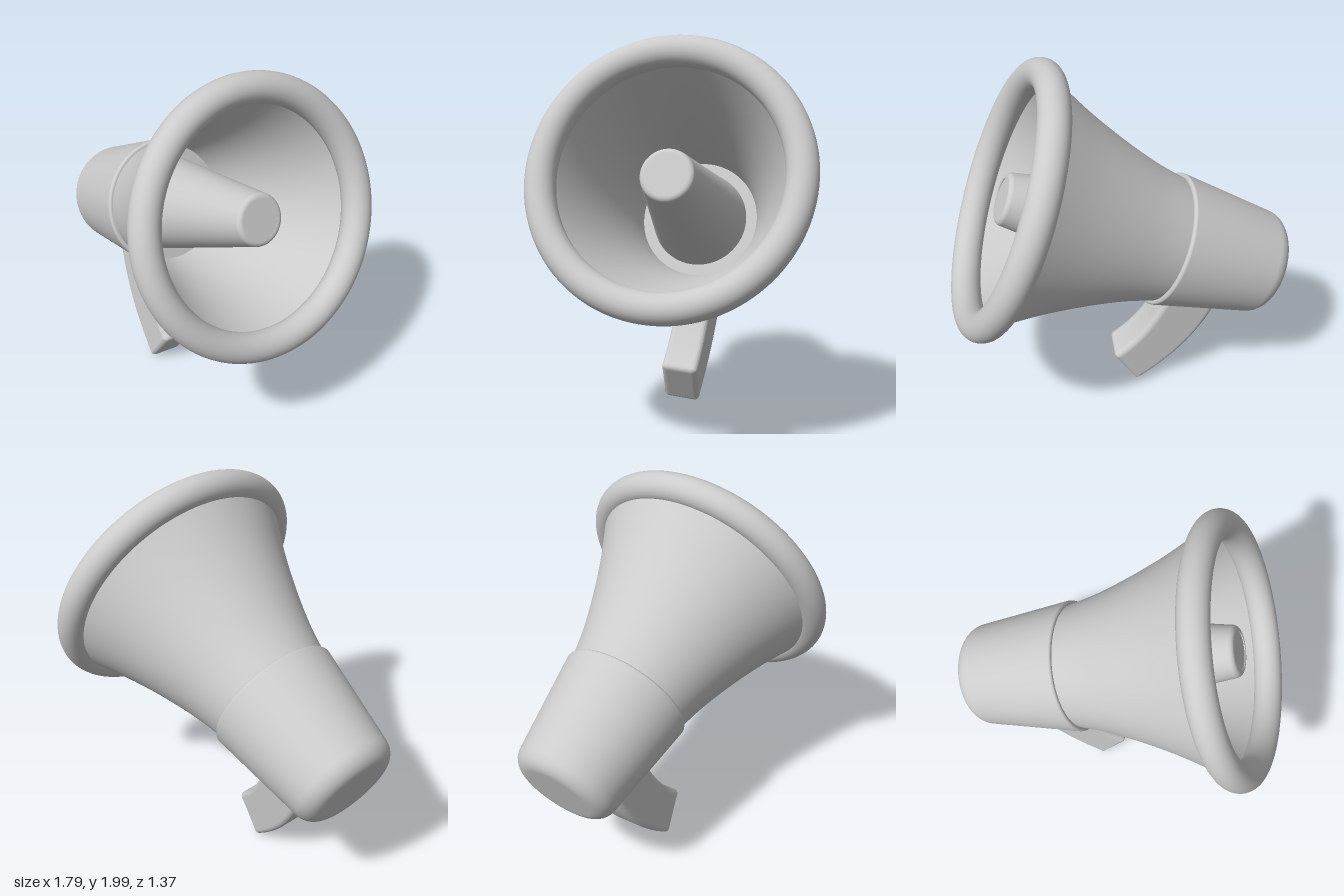
import * as THREE from 'three';

const material = new THREE.MeshStandardMaterial({ color: 0xcccccc });

function part(name, geometry) {
  const mesh = new THREE.Mesh(geometry, material);
  mesh.name = name;
  return mesh;
}

// Lathe around the local x axis; points are [position along axis, radius]
function turned(name, points, segments = 96) {
  const profile = points.map(([t, r]) => new THREE.Vector2(r, t));
  return part(name, new THREE.LatheGeometry(profile, segments).rotateZ(-Math.PI / 2));
}

// Smooth curve through a few points
function smooth(points, count = 24) {
  return new THREE.SplineCurve(points.map(p => new THREE.Vector2(...p)))
    .getPoints(count).map(p => [p.x, p.y]);
}

// Rounded corner points, angles in degrees (0 = forward, 90 = outward)
function fillet(t, r, radius, from, to, steps = 10) {
  return Array.from({ length: steps + 1 }, (_, i) => {
    const a = THREE.MathUtils.degToRad(from + (to - from) * i / steps);
    return [t + radius * Math.cos(a), r + radius * Math.sin(a)];
  });
}

export function createModel() {
  const model = new THREE.Group();
  const megaphone = new THREE.Group();
  megaphone.name = 'megaphone';
  model.add(megaphone);

  // Rear housing: flat rounded back, slight flare, rounded front lip
  megaphone.add(turned('housing', [
    [-1.495, 0], [-1.495, 0.16],
    ...fillet(-1.395, 0.18, 0.1, 180, 97),
    ...fillet(-0.875, 0.338, 0.014, 97, 0),
    [-0.861, 0.3],
  ]));

  // Horn: outer and inner walls, closed at the throat
  megaphone.add(turned('hornOuter',
    smooth([[-0.88, 0.328], [-0.7, 0.37], [-0.5, 0.435], [-0.3, 0.513], [-0.14, 0.587], [-0.04, 0.638]])));
  megaphone.add(turned('hornInner',
    smooth([[-0.02, 0.62], [-0.14, 0.557], [-0.3, 0.484], [-0.5, 0.407], [-0.7, 0.345], [-0.83, 0.315]])));
  megaphone.add(turned('throat', [[-0.82, 0.33], [-0.82, 0]]));

  // Rolled rim around the mouth
  megaphone.add(part('rim', new THREE.TorusGeometry(0.633, 0.078, 32, 128).rotateY(Math.PI / 2)));

  // Inner cone with a rounded tip and an inset end disc
  megaphone.add(turned('innerCone', [
    [-0.84, 0.262], [-0.4, 0.194],
    ...fillet(0, 0.107, 0.027, 81, 0),
    [0.027, 0.1],
  ], 64));
  megaphone.add(turned('innerConeStep', [[0.027, 0.104], [0.018, 0.104]], 64));
  megaphone.add(turned('innerConeDisc', [[0.02, 0.106], [0.02, 0]], 64));

  // Curved pistol grip, drawn from the side and given rounded edges
  const grip = new THREE.Shape();
  grip.moveTo(-1.3, -0.2);
  grip.bezierCurveTo(-1.33, -0.5, -1.27, -0.73, -1.15, -0.955);
  grip.quadraticCurveTo(-1.14, -0.975, -1.12, -0.96);
  grip.lineTo(-0.95, -0.84);
  grip.quadraticCurveTo(-0.93, -0.825, -0.94, -0.805);
  grip.bezierCurveTo(-1.01, -0.67, -1.04, -0.5, -1.02, -0.2);
  grip.closePath();
  const bevel = 0.03, width = 0.2;
  const gripGeometry = new THREE.ExtrudeGeometry(grip, {
    depth: width - 2 * bevel, bevelEnabled: true, bevelSize: bevel, bevelThickness: bevel,
    bevelOffset: -bevel, bevelSegments: 5, curveSegments: 16,
  }).translate(0, 0, bevel - width / 2);
  const handle = part('handle', gripGeometry);
  handle.rotation.x = -0.085;
  megaphone.add(handle);

  // Aim the horn forward, up and to the left
  const aim = new THREE.Vector3(0.873, 0.382, 0.302).normalize();
  const side = new THREE.Vector3().crossVectors(aim, new THREE.Vector3(0, 1, 0)).normalize();
  const up = new THREE.Vector3().crossVectors(side, aim);
  megaphone.quaternion.setFromRotationMatrix(new THREE.Matrix4().makeBasis(aim, up, side));
  megaphone.position.set(0.505, 1.338, 0);

  return model;
}
